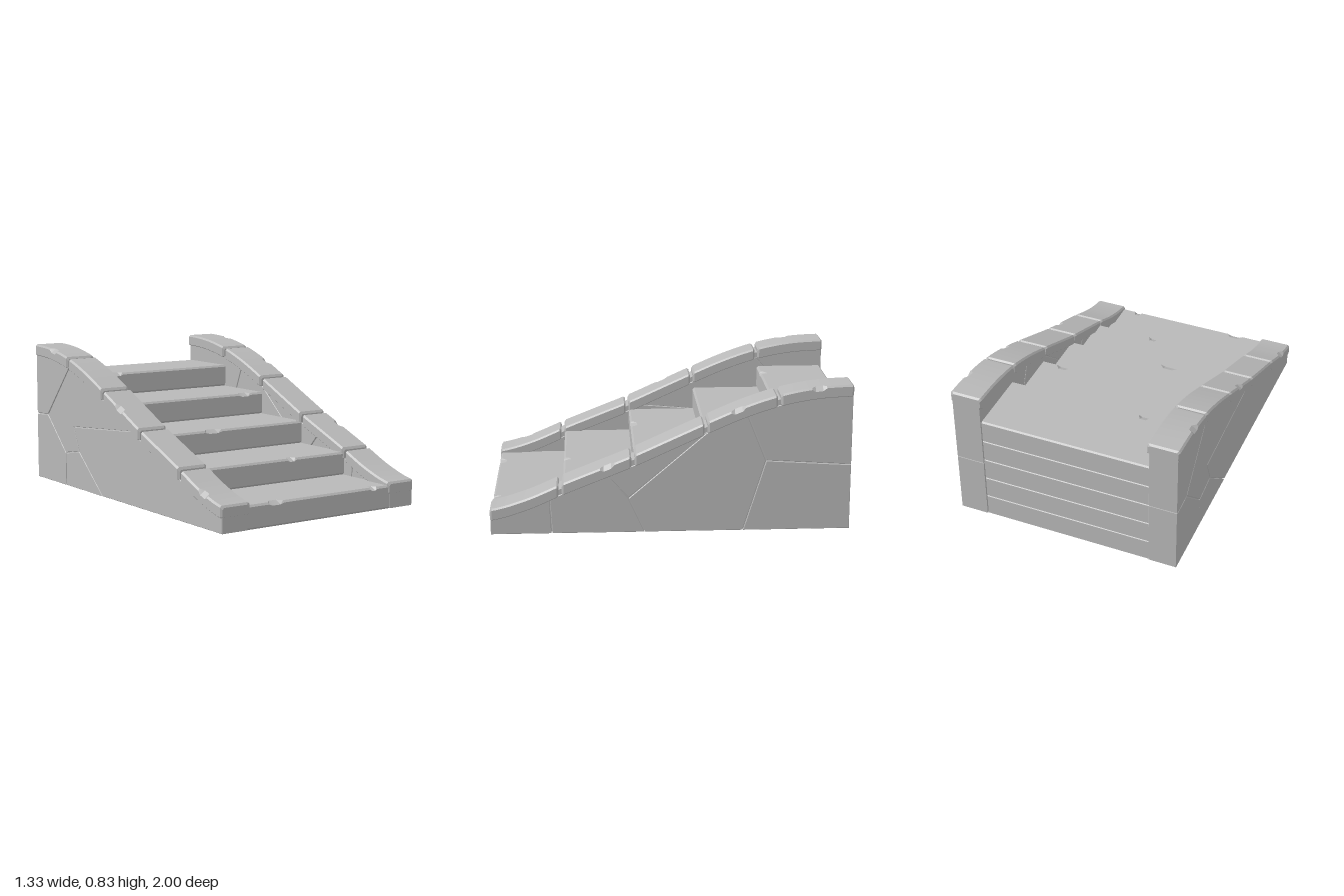
import * as THREE from 'three';
import { toCreasedNormals } from 'three/addons/utils/BufferGeometryUtils.js';

const stone = new THREE.MeshStandardMaterial({ color: 0xb8b8b8 });
stone.name = 'grey stone';

// Height of the balustrade top, at z = 1, 0.8 ... -1
const RAMP = [0.15, 0.205, 0.29, 0.37, 0.45, 0.54, 0.63, 0.715, 0.78, 0.818, 0.83];
function rampY(z) {
  const f = THREE.MathUtils.clamp((1 - z) * 5, 0, 10);
  const i = Math.min(9, Math.floor(f)), t = f - i;
  const p = (k) => RAMP[THREE.MathUtils.clamp(k, 0, 10)];
  const m0 = (p(i + 1) - p(i - 1)) / 2, m1 = (p(i + 2) - p(i)) / 2;
  const t2 = t * t, t3 = t2 * t;
  return (2 * t3 - 3 * t2 + 1) * p(i) + (t3 - 2 * t2 + t) * m0 + (3 * t2 - 2 * t3) * p(i + 1) + (t3 - t2) * m1;
}

function addMesh(parent, name, geometry) {
  const mesh = new THREE.Mesh(geometry, stone);
  mesh.name = name;
  parent.add(mesh);
}

// Closed solid through convex cross-sections with equal point counts
function loft(sections) {
  const tris = [], n = sections[0].length, last = sections[sections.length - 1];
  for (let i = 0; i < sections.length - 1; i++) {
    const a = sections[i], b = sections[i + 1];
    for (let j = 0; j < n; j++) {
      const k = (j + 1) % n;
      tris.push([a[j], a[k], b[k]], [a[j], b[k], b[j]]);
    }
  }
  for (let j = 1; j < n - 1; j++) {
    tris.push([sections[0][0], sections[0][j + 1], sections[0][j]], [last[0], last[j], last[j + 1]]);
  }
  // Turn the faces outward
  let volume = 0;
  for (const [a, b, c] of tris) volume += a.dot(b.clone().cross(c));
  if (volume < 0) tris.forEach((t) => t.reverse());
  const geometry = new THREE.BufferGeometry().setFromPoints(tris.flat());
  return toCreasedNormals(geometry, 0.35);
}

// Stations along an edge, with the chip amount (0 or 1) at each
function chipStations(chips, width) {
  return chips.flatMap(([c, w = width]) => [[c - w / 2, 0], [c - w / 4, 1], [c + w / 4, 1], [c + w / 2, 0]]);
}

// One step block with a bevelled, chipped nosing
function stepGeometry(index, chips) {
  const H = 0.133, y0 = index * H, y1 = y0 + H;
  const front = 0.995 - index * 0.398, back = -0.99, b = 0.011;
  const stations = [[-0.49, 0], ...chipStations(chips, 0.06), [0.49, 0]].sort((p, q) => p[0] - q[0]);
  return loft(stations.map(([x, chip]) => {
    const dz = b + chip * 0.03, dy = b + chip * 0.008;
    return [
      [front - b, y0], [front, y0 + b], [front, y1 - dy], [front - dz, y1],
      [back + 0.008, y1], [back, y1 - 0.008], [back, y0],
    ].map(([z, y]) => new THREE.Vector3(x, y, z));
  }));
}

// One coping stone following the ramp between two z positions
function copingGeometry(side, zFront, zBack, chips) {
  const inner = 0.475, outer = 0.663, b = 0.01;
  const stations = [[zFront, 0, b], [zFront - b, 0, 0], [zBack + b, 0, 0], [zBack, 0, b]];
  for (let i = 1; i < 10; i++) stations.push([zFront + (zBack - zFront) * i / 10, null, 0]);
  const marks = chipStations(chips.filter((c) => c < zFront && c > zBack).map((c) => [c]), 0.08);
  const kept = stations.filter(([z, c]) => c !== null || !marks.length || z < marks[0][0] || z > marks[3][0]);
  marks.forEach(([z, c]) => kept.push([z, c, 0]));
  kept.sort((p, q) => q[0] - p[0]);
  return loft(kept.map(([z, chip, inset]) => {
    const top = rampY(z) - inset, low = rampY(z) - 0.066 + inset * 0.5;
    const x0 = inner + inset, x1 = outer - inset;
    const dx = b + (chip || 0) * 0.02, dy = b + (chip || 0) * 0.014;
    return [
      [x0 + 0.004, low], [x1 - 0.004, low], [x1, low + 0.004], [x1, top - dy],
      [x1 - dx, top], [x0 + b, top], [x0, top - b], [x0, low + 0.004],
    ].map(([x, y]) => new THREE.Vector3(side * x, y, z));
  }));
}

// Points along the top of the wall, dropped below the ramp
function crest(zA, zB, drop = 0.058) {
  const n = Math.max(2, Math.ceil(Math.abs(zA - zB) / 0.08));
  return Array.from({ length: n + 1 }, (_, i) => {
    const z = zA + (zB - zA) * i / n;
    return [z, rampY(z) - drop];
  });
}

// Slab with a z-y outline, spanning x0 to x1; groove cuts back its edges
function slab(outline, x0, x1, groove) {
  const shape = new THREE.Shape(outline.map(([z, y]) => new THREE.Vector2(-z, y)));
  const bevel = groove / 2;
  const geometry = new THREE.ExtrudeGeometry(shape, {
    depth: x1 - x0 - 2 * bevel, bevelEnabled: groove > 0, bevelSegments: 1,
    bevelThickness: bevel, bevelSize: bevel, bevelOffset: -groove,
  });
  geometry.rotateY(Math.PI / 2).translate(x0 + bevel, 0, 0);
  return toCreasedNormals(geometry, 0.35);
}

// Irregular wall stones of each side, as z-y outlines
const RIGHT_STONES = [
  [[0.66, 0], [1, 0], ...crest(1, 0.67)],
  [[0.145, 0], [0.66, 0], ...crest(0.67, 0.35), [0.235, 0.2]],
  [[0.235, 0.2], ...crest(0.35, -0.2)],
  [[-0.4, 0], [0.145, 0], [0.235, 0.2], ...crest(-0.2, -0.42), [-0.525, 0.405]],
  [[-0.525, 0.405], ...crest(-0.42, -1), [-1, 0.375]],
  [[-1, 0], [-0.4, 0], [-0.525, 0.405], [-1, 0.375]],
];
const LEFT_STONES = [
  [[-0.86, 0.41], ...crest(-0.59, -1), [-1, 0.4]],
  [[-1, 0], [-0.64, 0], [-0.64, 0.2], [-0.86, 0.41], [-1, 0.4]],
  [[-0.64, 0], [-0.21, 0], [-0.48, 0.23], [-0.64, 0.2]],
  [[-0.64, 0.2], [-0.48, 0.23], [-0.54, 0.37], ...crest(0.12, -0.59), [-0.86, 0.41]],
  [[-0.21, 0], [1, 0], ...crest(1, 0.12), [-0.54, 0.37], [-0.48, 0.23]],
];

export function createModel() {
  const model = new THREE.Group();
  model.name = 'stoneStaircase';

  // Steps, each with [chip position, chip width]
  const stepChips = [
    [[-0.3, 0.1], [0.375, 0.05]], [[0.11, 0.06]], [[-0.15, 0.115]], [[0.36, 0.085]], [[-0.31, 0.07]],
  ];
  const steps = new THREE.Group();
  steps.name = 'steps';
  stepChips.forEach((chips, i) => addMesh(steps, `step${i + 1}`, stepGeometry(i, chips)));
  model.add(steps);

  // Balustrades: mortar core, wall stones and coping on both sides
  const joints = [[1, 0.62], [0.602, 0.218], [0.2, -0.183], [-0.201, -0.583], [-0.601, -1]];
  const sides = [
    { name: 'leftBalustrade', side: 1, stones: RIGHT_STONES, chips: [0.35, -0.37, -0.81] },
    { name: 'rightBalustrade', side: -1, stones: LEFT_STONES, chips: [0.83, -0.01, -0.77] },
  ];
  for (const { name, side, stones, chips } of sides) {
    const group = new THREE.Group();
    group.name = name;
    const span = (a, b) => (side > 0 ? [a, b] : [-b, -a]);
    const core = [[-0.988, 0.01], [0.988, 0.01], ...crest(0.988, -0.988, 0.03)];
    addMesh(group, 'mortarCore', slab(core, ...span(0.5, 0.645), 0));
    stones.forEach((s, i) => addMesh(group, `wallStone${i + 1}`, slab(s, ...span(0.49, 0.655), 0.005)));
    joints.forEach(([a, b], i) => addMesh(group, `copingStone${i + 1}`, copingGeometry(side, a, b, chips)));
    model.add(group);
  }
  return model;
}
